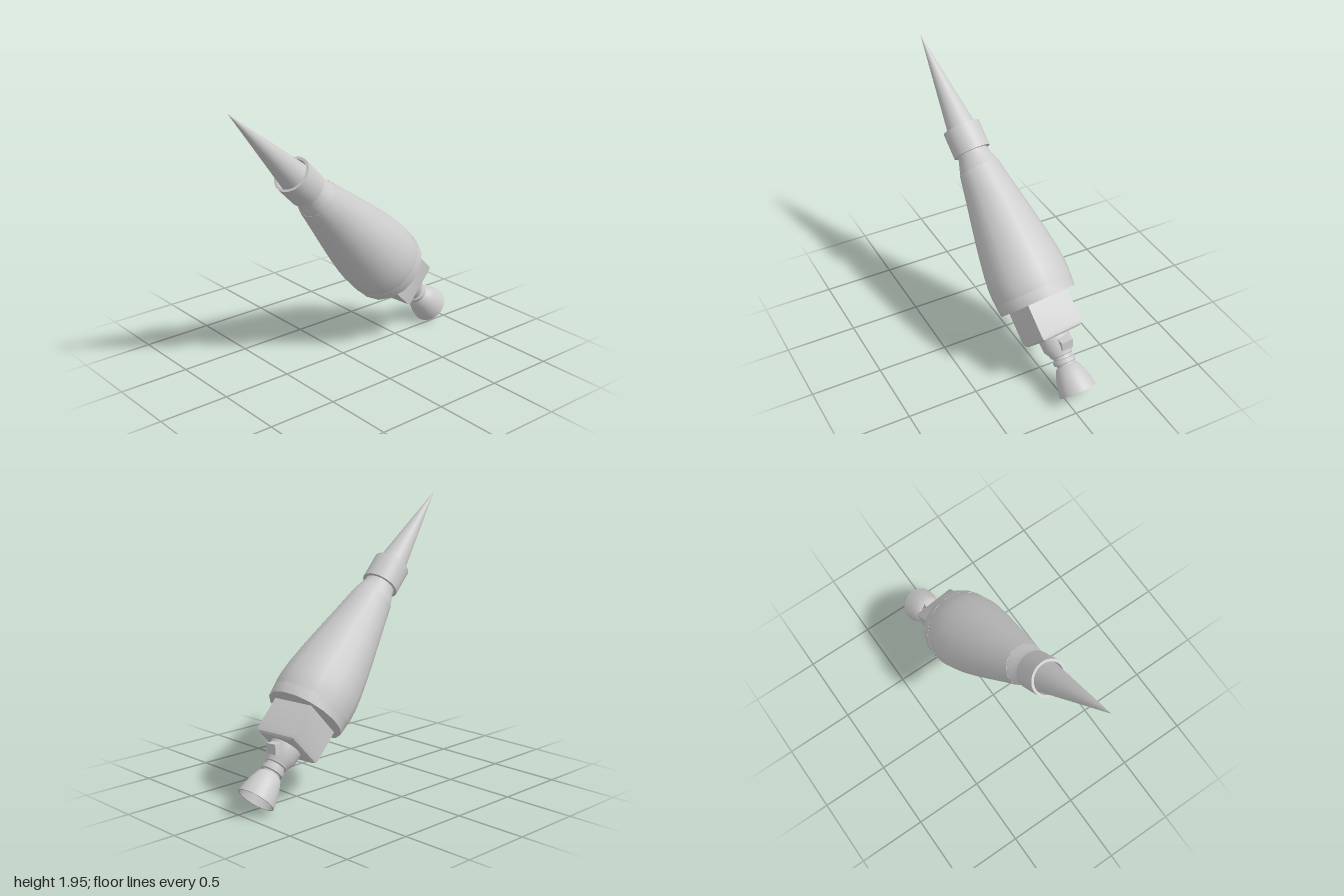
import * as THREE from 'three';
import { toCreasedNormals } from 'three/addons/utils/BufferGeometryUtils.js';

export function createModel() {
  const model = new THREE.Group();
  model.name = 'spikedDevice';
  const grey = new THREE.MeshStandardMaterial({ color: 0xcccccc, side: THREE.DoubleSide });
  grey.name = 'lightGrey';

  // All parts are turned about one slanted axis running from tail to tip
  const tail = new THREE.Vector3(-0.065, 0.095, -0.907);
  const tip = new THREE.Vector3(0.137, 1.95, 1.0);
  const axis = tip.clone().sub(tail);
  const length = axis.length();
  const assembly = new THREE.Group();
  assembly.name = 'assembly';
  assembly.position.copy(tail);
  assembly.quaternion.setFromUnitVectors(new THREE.Vector3(0, 1, 0), axis.normalize());
  model.add(assembly);

  const add = (name, geometry, crease = 0.55) => {
    const mesh = new THREE.Mesh(toCreasedNormals(geometry, crease), grey);
    mesh.name = name;
    assembly.add(mesh);
    return mesh;
  };
  // Profile points are [radius, distance from tail]
  const turn = (name, profile, sides = 32, crease) =>
    add(name, new THREE.LatheGeometry(profile.map(([r, s]) => new THREE.Vector2(r, s)), sides), crease);

  // Spike set into the hollow collar
  turn('spike', [[0.116, 1.86], [0, length]]);
  turn('collar', [
    [0, 1.776], [0.131, 1.776], [0.131, 1.964], [0.112, 1.964], [0.112, 1.87], [0, 1.87],
  ]);
  turn('neck', [[0.142, 1.655], [0.128, 1.70], [0.111, 1.75], [0.108, 1.78]]);

  // Tapered body and the band at its base
  turn('body', [
    [0.277, 0.74], [0.282, 0.79], [0.281, 0.86], [0.272, 0.95], [0.252, 1.08],
    [0.229, 1.21], [0.203, 1.345], [0.173, 1.50], [0.144, 1.657], [0, 1.657],
  ], 16);
  turn('baseBand', [[0, 0.663], [0.272, 0.663], [0.278, 0.74]], 16);

  // Square block with a bevelled rear edge
  const d = Math.SQRT2;
  const block = turn('squareBlock', [
    [0, 0.402], [0.138 * d, 0.402], [0.154 * d, 0.414], [0.16 * d, 0.438], [0.16 * d, 0.67],
  ], 4, 0.3);
  block.rotation.y = Math.PI / 4 + 0.1;

  // Stem with its ring
  turn('stem', [
    [0.063, 0.18], [0.064, 0.205], [0.078, 0.21], [0.080, 0.236], [0.067, 0.242],
    [0.067, 0.262], [0.078, 0.268], [0.082, 0.285], [0.105, 0.325], [0.109, 0.41],
  ]);

  // Small lug on the upper rear of the stem
  const lug = add('lug', new THREE.BoxGeometry(0.085, 0.07, 0.064));
  lug.position.set(-0.02, 0.338, -0.1);
  lug.rotation.x = -Math.PI / 4;

  // Flared hollow nozzle: inside, rim, then outside
  turn('nozzle', [
    [0, 0.17], [0.062, 0.17], [0.09, 0.127], [0.11, 0.06], [0.121, 0], [0.131, 0],
    [0.122, 0.06], [0.104, 0.127], [0.08, 0.183], [0.06, 0.198],
  ]);

  return model;
}
